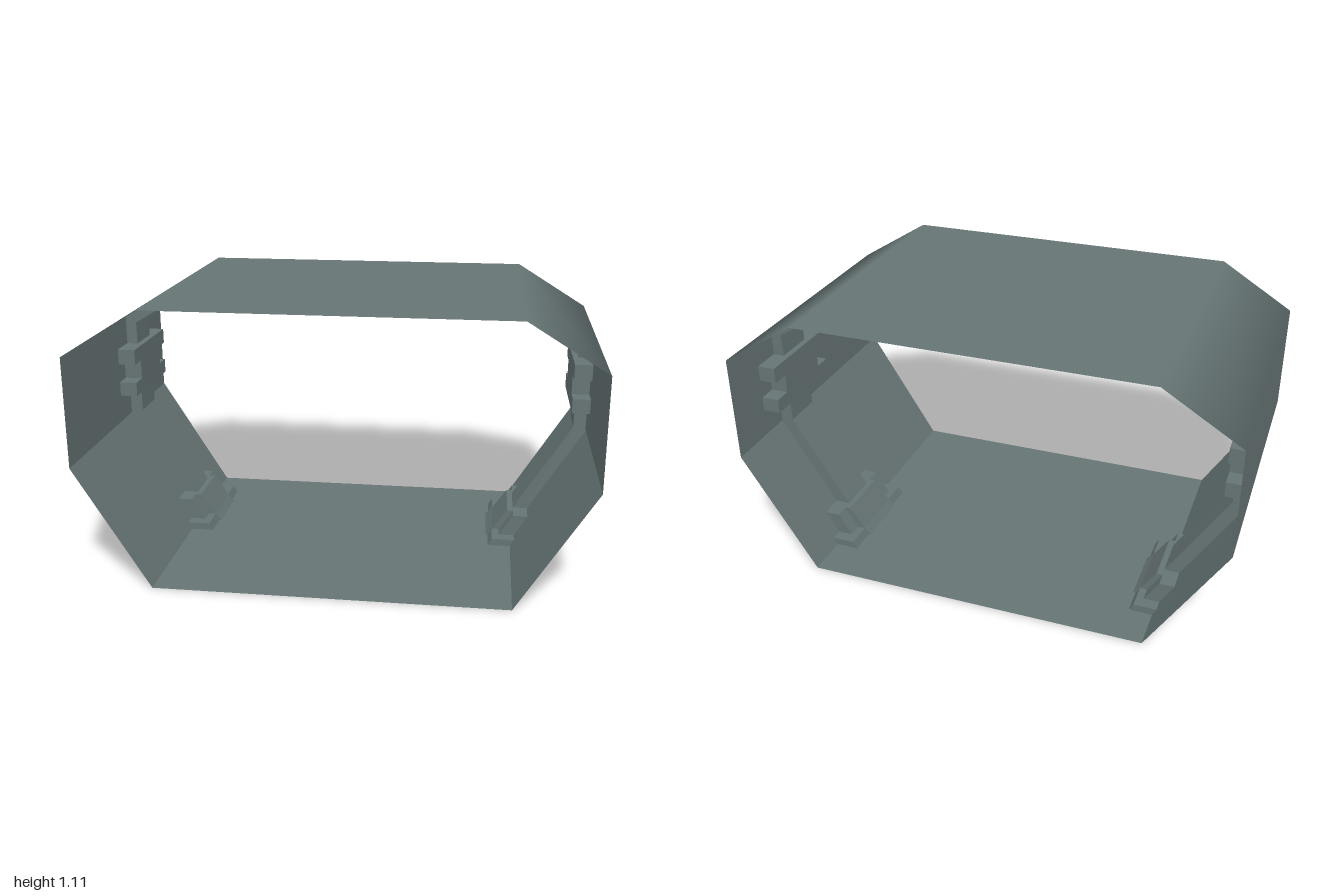
import * as THREE from 'three';

const MID = -0.2; // z of the rib and its fittings

// Solid prism from an x-y outline, running from z0 to z1
function prism(points, z0, z1) {
  const shape = new THREE.Shape(points.map(([x, y]) => new THREE.Vector2(x, y)));
  const geo = new THREE.ExtrudeGeometry(shape, { depth: z1 - z0, bevelEnabled: false });
  return geo.translate(0, 0, z0);
}

// Thin open-ended tunnel skin; each strip blends between its two edge normals
function shellGeometry() {
  const up = [0, 1], side = [1, 0], down = [0, -1], slope = [0.85, -0.52];
  const flip = ([x, y]) => [-x, y];
  const half = [
    [[0.7, 0], [1, 0.485], slope, slope],
    [[1, 0.485], [1, 0.925], side, side],
    [[1, 0.925], [0.7, 1.11], side, up],
  ];
  const strips = [
    ...half,
    [[0.7, 1.11], [-0.7, 1.11], up, up],
    ...half.map(([a, b, na, nb]) => [flip(b), flip(a), flip(nb), flip(na)]),
    [[-0.7, 0], [0.7, 0], down, down],
  ];
  const pos = [], nor = [], index = [];
  const z = 0.605;
  strips.forEach(([a, b, na, nb], i) => {
    pos.push(...a, z, ...a, -z, ...b, -z, ...b, z);
    nor.push(...na, 0, ...na, 0, ...nb, 0, ...nb, 0);
    const k = i * 4;
    index.push(k, k + 1, k + 2, k, k + 2, k + 3);
  });
  const geo = new THREE.BufferGeometry();
  geo.setAttribute('position', new THREE.Float32BufferAttribute(pos, 3));
  geo.setAttribute('normal', new THREE.Float32BufferAttribute(nor, 3));
  geo.setIndex(index);
  return geo;
}

export function createModel() {
  const model = new THREE.Group();
  const steel = new THREE.MeshStandardMaterial({ color: 0x667474, side: THREE.DoubleSide });
  steel.name = 'greySteel';

  const add = (name, geo, parent = model) => {
    const mesh = new THREE.Mesh(geo, steel);
    mesh.name = name;
    parent.add(mesh);
  };

  add('tunnelShell', shellGeometry());

  // Rib arching over walls and roof
  const outer = [[0.697, 0.002], [0.997, 0.486], [0.997, 0.923], [0.699, 1.107]];
  const inner = [[0.675, 1.058], [0.952, 0.9], [0.945, 0.5], [0.635, 0.002]];
  const mirror = (list) => list.map(([x, y]) => [-x, y]).reverse();
  add('archRib', prism([...outer, ...mirror(outer), ...mirror(inner), ...inner], MID - 0.085, MID + 0.085));

  // Wall bracket outline in z-y: a body with two tabs at each end
  const bracket = [
    [-0.205, 0.6], [0.205, 0.6], [0.205, 0.66], [0.13, 0.66], [0.13, 0.74], [0.205, 0.74],
    [0.205, 0.805], [-0.205, 0.805], [-0.205, 0.74], [-0.13, 0.74], [-0.13, 0.66], [-0.205, 0.66],
  ];

  for (const s of [1, -1]) {
    const sideName = s > 0 ? 'left' : 'right';
    const flip = (list) => list.map(([x, y]) => [s * x, y]);

    const plate = prism(bracket, 0, 0.073).rotateY(-Math.PI / 2);
    add(sideName + 'WallBracket', plate.translate(s > 0 ? 0.998 : -0.925, 0, MID));

    // Foot clamp: thick body, shallower wings and a wide base flange
    const foot = new THREE.Group();
    foot.name = sideName + 'Foot';
    model.add(foot);
    const body = flip([[0.698, 0], [0.77, 0.12], [0.685, 0.12], [0.622, 0.03], [0.595, 0]]);
    const wing = flip([[0.698, 0], [0.77, 0.12], [0.71, 0.12], [0.64, 0.012], [0.64, 0]]);
    const flange = flip([[0.698, 0], [0.716, 0.03], [0.622, 0.03], [0.605, 0]]);
    add('footBody', prism(body, MID - 0.12, MID + 0.12), foot);
    add('footWings', prism(wing, MID - 0.18, MID + 0.18), foot);
    add('footFlange', prism(flange, MID - 0.23, MID + 0.23), foot);
  }
  return model;
}
